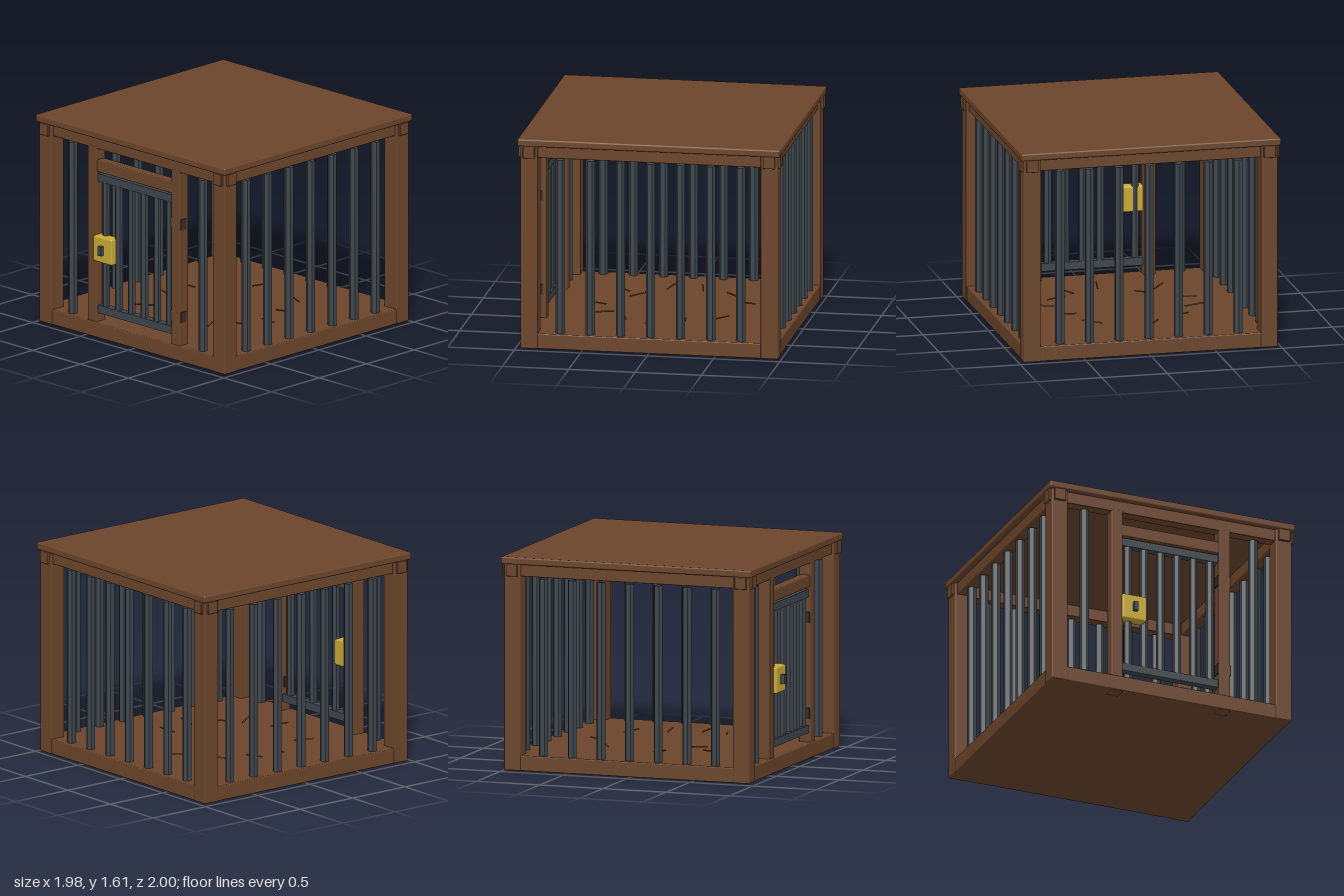
import * as THREE from 'three';
import { RoundedBoxGeometry } from 'three/addons/geometries/RoundedBoxGeometry.js';

export function createModel() {
  const mat = (name, color, flatShading = false) => {
    const m = new THREE.MeshStandardMaterial({ color, flatShading });
    m.name = name;
    return m;
  };
  const wood = mat('brown wood', 0x6b452b);
  const iron = mat('dark iron', 0x3e464c, true);
  const brass = mat('brass', 0xc9a936);
  const hingeMetal = mat('hinge metal', 0x3c2c22);
  const straw = mat('straw', 0x6e4424);

  const model = new THREE.Group();
  model.name = 'cage';
  const cage = new THREE.Group();
  cage.name = 'cageBody';
  cage.position.z = -0.01;
  model.add(cage);

  const add = (name, geometry, material, x, y, z) => {
    const mesh = new THREE.Mesh(geometry, material);
    mesh.name = name;
    mesh.position.set(x, y, z);
    cage.add(mesh);
    return mesh;
  };
  // Softly bevelled block given by its minimum and maximum corners
  const block = (name, material, [x0, y0, z0], [x1, y1, z1], r = 0.008) =>
    add(name, new RoundedBoxGeometry(x1 - x0, y1 - y0, z1 - z0, 2, r), material,
      (x0 + x1) / 2, (y0 + y1) / 2, (z0 + z1) / 2);
  // Six-sided upright bar
  const bar = (name, r, x, z, y0, y1) =>
    add(name, new THREE.CylinderGeometry(r, r, y1 - y0, 6), iron, x, (y0 + y1) / 2, z);

  // Floor and roof
  block('floor', wood, [-0.965, 0.008, -0.965], [0.965, 0.123, 0.965]);
  block('roof', wood, [-0.99, 1.557, -0.99], [0.99, 1.612, 0.99], 0.012);

  // Corner posts and crossing top beams whose ends poke past the posts
  for (const s of [-1, 1]) {
    for (const t of [-1, 1]) {
      const post = new RoundedBoxGeometry(0.13, 1.55, 0.13, 2, 0.008);
      add('cornerPost', post, wood, s * 0.905, 0.783, t * 0.905);
    }
    const across = new RoundedBoxGeometry(1.976, 0.092, 0.09, 2, 0.006);
    const along = new RoundedBoxGeometry(0.09, 0.092, 1.976, 2, 0.006);
    add('topBeamAcross', across, wood, 0, 1.512, s * 0.905);
    add('topBeamAlong', along, wood, s * 0.905, 1.511, 0);
  }

  // Bars on the back and sides, and beside the doorway
  for (let i = -3; i <= 3; i++) {
    const p = i * 0.2265;
    bar('backBar', 0.035, p, -0.905, 0.11, 1.45);
    for (const s of [-1, 1]) bar('sideBar', 0.035, s * 0.905, p, 0.11, 1.45);
    if (Math.abs(i) === 3) bar('frontBar', 0.035, p, 0.905, 0.11, 1.45);
  }

  // Door frame
  for (const s of [-1, 1]) {
    block('doorJamb', wood, [s * 0.435 - 0.046, 0, 0.858], [s * 0.435 + 0.046, 1.48, 0.952]);
  }
  block('doorLintel', wood, [-0.4, 1.285, 0.865], [0.4, 1.377, 0.945]);

  // Barred door
  for (const y of [0.22, 1.24]) {
    add('doorRail', new THREE.BoxGeometry(0.78, 0.06, 0.06), iron, 0, y, 0.905);
  }
  for (let i = 0; i < 6; i++) bar('doorBar', 0.03, -0.333 + i * 0.1332, 0.905, 0.22, 1.24);

  // Hinges wrapped round the left jamb
  for (const y of [0.34, 1.06]) {
    for (const x of [0.395, 0.47]) {
      add('hinge', new THREE.BoxGeometry(0.036, 0.08, 0.06), hingeMetal, x, y, 0.915);
    }
  }

  // Lock with keyhole plug
  block('lock', brass, [-0.4, 0.6, 0.885], [-0.205, 0.8, 0.978], 0.014);
  add('keyhole', new THREE.BoxGeometry(0.034, 0.07, 0.06), iron, -0.303, 0.7, 0.98);

  // Scattered straw on the floor
  const stalks = [
    [-0.53, -0.14, 0.2], [-0.38, -0.38, 0.6], [-0.25, 0.3, -0.8], [-0.14, -0.54, 1.1],
    [0.04, 0.56, 1.4], [0.32, -0.44, -0.5], [0.42, 0.28, 0.3], [0.54, 0.08, -0.15],
    [-0.4, 0.44, 0.9], [0.3, 0.45, -1.0], [-0.53, 0.1, -0.25], [0.45, -0.18, 0.1],
  ];
  stalks.forEach(([x, z, turn], i) => {
    const stalk = add('strawStalk', new THREE.CylinderGeometry(0.006, 0.006, 0.15, 5),
      straw, x, 0.145, z);
    stalk.rotation.set(0, turn, Math.PI / 2 + (i % 2 ? 0.06 : -0.06));
  });

  return model;
}
